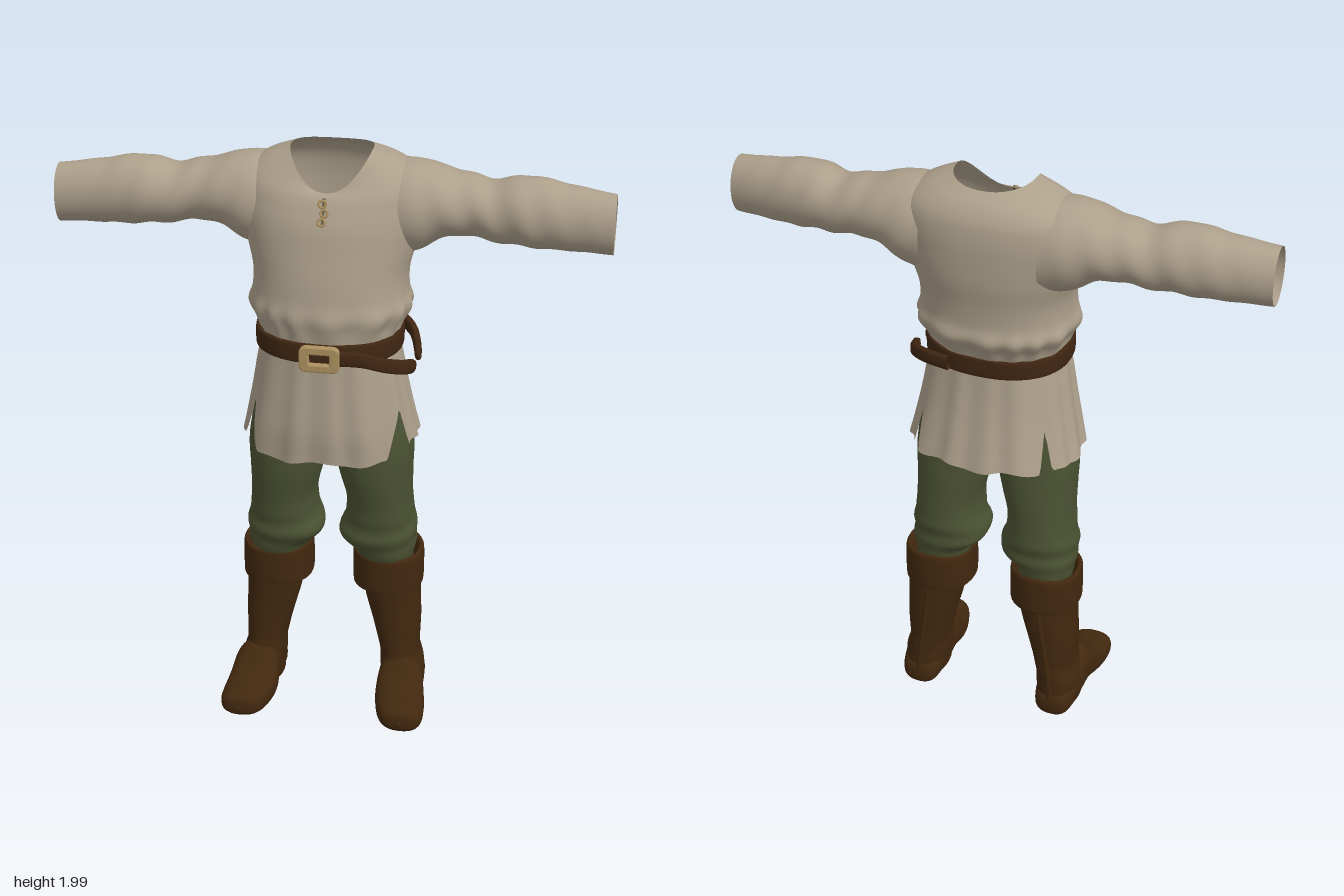
import * as THREE from 'three';

const paint = (name, color) => {
  const m = new THREE.MeshStandardMaterial({ color, side: THREE.DoubleSide });
  m.name = name;
  return m;
};

// smooth value of every column of a table of rows, t in 0..1
function sample(rows, t) {
  const p = t * (rows.length - 1), i = Math.min(Math.floor(p), rows.length - 2), f = p - i;
  const row = k => rows[THREE.MathUtils.clamp(k, 0, rows.length - 1)];
  return rows[i].map((b, c) => {
    const a = row(i - 1)[c], d = row(i + 1)[c], e = row(i + 2)[c];
    return b + 0.5 * f * (d - a + f * (2 * a - 5 * b + 4 * d - e + f * (3 * (b - d) + e - a)));
  });
}

// closed skin: f(angle, t) gives a point; skip(point) leaves a hole
function skin(nu, nv, f, skip) {
  const pos = [], index = [];
  for (let j = 0; j <= nv; j++)
    for (let i = 0; i < nu; i++) pos.push(...f((i / nu) * Math.PI * 2, j / nv));
  for (let j = 0; j < nv; j++)
    for (let i = 0; i < nu; i++) {
      const a = j * nu + i, b = j * nu + (i + 1) % nu, c = a + nu, d = b + nu;
      if (skip && skip(pos[a * 3], pos[a * 3 + 1], pos[a * 3 + 2])) continue;
      index.push(a, c, b, b, c, d);
    }
  const g = new THREE.BufferGeometry();
  g.setAttribute('position', new THREE.Float32BufferAttribute(pos, 3));
  g.setIndex(index);
  g.computeVertexNormals();
  return g;
}

const power = (v, e) => Math.sign(v) * Math.abs(v) ** e;

// upright part from rows [centre x, half width, front z, back z, y, front y, back y]
function upright(rows, nu, nv, { e = 0.9, ripple, skip } = {}) {
  const full = rows.map(([cx, hx, zf, zb, y, yf = y, yb = y]) => [cx, hx, zf, zb, y, yf, yb]);
  return skin(nu, nv, (a, t) => {
    const [cx, hx, zf, zb, y, yf, yb] = sample(full, t);
    const s = Math.sin(a), k = 1 + (ripple ? ripple(a, y) : 0);
    return [cx + hx * k * power(Math.cos(a), e),
      THREE.MathUtils.lerp(y, s > 0 ? yf : yb, s * s),
      (zf + zb) / 2 + (zf - zb) / 2 * k * power(s, e)];
  }, skip);
}

// flat strap along a path, tapering at its end
function strap(points, h, thick) {
  const curve = new THREE.CatmullRomCurve3(points.map(p => new THREE.Vector3(...p)));
  const up = new THREE.Vector3(0, 1, 0);
  return skin(12, 30, (a, t) => {
    const p = curve.getPoint(t);
    const out = curve.getTangent(t).cross(up).normalize();
    const k = t > 0.85 ? Math.sqrt(Math.max(0, 1 - ((t - 0.85) / 0.15) ** 2)) : 1;
    p.addScaledVector(up, h * k * power(Math.sin(a), 0.6));
    p.addScaledVector(out, thick * k * power(Math.cos(a), 0.6));
    return [p.x, p.y, p.z];
  });
}

function mirrored(g) {
  const m = g.clone().scale(-1, 1, 1), ix = m.index.array;
  for (let i = 0; i < ix.length; i += 3) [ix[i], ix[i + 1]] = [ix[i + 1], ix[i]];
  m.computeVertexNormals();
  return m;
}

export function createModel() {
  const model = new THREE.Group();
  model.name = 'tunicOutfit';
  const linen = paint('linen', 0xada08b), green = paint('greenWool', 0x4b5232);
  const hide = paint('bootLeather', 0x42280f), leather = paint('beltLeather', 0x402612);
  const brass = paint('brass', 0xac9160), dark = paint('slitTrim', 0x6b5d49);
  const add = (name, g, mat) => {
    const mesh = new THREE.Mesh(g, mat);
    mesh.name = name;
    model.add(mesh);
    return mesh;
  };
  const pair = (name, g, mat) => {
    add('left' + name, g, mat);
    add('right' + name, mirrored(g), mat);
  };

  // tunic body, gathered above the belt, open at neck and armholes
  add('tunicBody', upright([
    [0, 0.222, 0.2, -0.178, 1.4], [0, 0.235, 0.208, -0.198, 1.45],
    [0, 0.26, 0.216, -0.225, 1.5], [0, 0.25, 0.206, -0.216, 1.55],
    [0, 0.25, 0.196, -0.22, 1.62], [0, 0.27, 0.18, -0.232, 1.7],
    [0, 0.288, 0.163, -0.236, 1.78], [0, 0.295, 0.142, -0.235, 1.85, 1.835, 1.85],
    [0, 0.28, 0.125, -0.224, 1.915, 1.868, 1.91],
    [0, 0.215, 0.112, -0.195, 1.965, 1.882, 1.955],
    [0, 0.13, 0.1, -0.148, 2.0, 1.885, 1.985],
  ], 96, 60, {
    ripple: (a, y) => 0.028 * Math.sin(15 * a + 2 * Math.sin(3 * a)) * Math.exp(-(((y - 1.47) / 0.05) ** 2)),
    skip: (x, y, z) => Math.abs(x) > 0.225 && y > 1.74 && y < 1.9 && z > -0.15 && z < 0.05,
  }), linen);

  // sleeves: x, top, bottom, front, back
  const sleeve = [
    [0.19, 1.955, 1.65, 0.09, -0.205], [0.27, 1.96, 1.67, 0.092, -0.2],
    [0.35, 1.94, 1.715, 0.075, -0.182], [0.43, 1.922, 1.728, 0.058, -0.166],
    [0.51, 1.91, 1.715, 0.06, -0.152], [0.6, 1.93, 1.71, 0.072, -0.142],
    [0.67, 1.925, 1.705, 0.068, -0.132], [0.78, 1.908, 1.705, 0.06, -0.108],
    [0.885, 1.895, 1.703, 0.058, -0.085],
  ];
  pair('Sleeve', skin(40, 56, (a, t) => {
    const [x, top, bottom, zf, zb] = sample(sleeve, t);
    const k = 1 + 0.025 * Math.sin(x * 55 + 2.5 * Math.sin(a)) * Math.sin(Math.PI * t);
    return [x, (top + bottom) / 2 + (top - bottom) / 2 * k * Math.sin(a),
      (zf + zb) / 2 + (zf - zb) / 2 * k * Math.cos(a)];
  }), linen);

  // skirt of the tunic with slits: angle, slope towards the back, slope towards the front
  const slits = [[0.45, 1.6, 0.5], [-0.68, 1.2, 2.5]];
  const skirtRows = [
    [0.218, 0.196, -0.174], [0.235, 0.2, -0.185], [0.252, 0.206, -0.202],
    [0.272, 0.21, -0.224], [0.292, 0.203, -0.245],
  ];
  const hem = a => {
    const b = Math.atan2(Math.sin(a), Math.abs(Math.cos(a)));
    let y = 1.0 + (b < 0.45 ? 0.035 : 0) + 0.006 * Math.sin(9 * a);
    for (const [c, back, front] of slits)
      y = Math.max(y, 1.18 - Math.abs(b - c) * (b < c ? back : front));
    return y;
  };
  add('tunicSkirt', skin(200, 24, (a, v) => {
    const y = THREE.MathUtils.lerp(hem(a), 1.41, v);
    const [hx, zf, zb] = sample(skirtRows, THREE.MathUtils.clamp((1.4 - y) / 0.4, 0, 1));
    const k = 1 + 0.022 * (1 - v * 0.5) * Math.sin(14 * a + 1.5 * Math.sin(4 * a));
    return [hx * k * power(Math.cos(a), 0.85), y,
      (zf + zb) / 2 + (zf - zb) / 2 * k * power(Math.sin(a), 0.85)];
  }), linen);

  // neck slit and its lacing
  const slit = add('neckSlit', new THREE.BoxGeometry(0.008, 0.085, 0.006), dark);
  slit.position.set(0, 1.838, 0.141);
  slit.rotation.x = -0.42;
  [1.862, 1.836, 1.81].forEach((y, i) => {
    const knot = add('lacing', new THREE.TorusGeometry(0.011, 0.004, 6, 14), brass);
    knot.position.set(i % 2 ? 0.004 : -0.003, y, 0.137 + (1.862 - y) * 0.4);
    knot.rotation.x = -0.4;
  });

  // belt and its two hanging tails
  add('belt', upright([
    [0, 0.215, 0.192, -0.17, 1.366], [0, 0.234, 0.214, -0.189, 1.36],
    [0, 0.238, 0.218, -0.193, 1.375], [0, 0.238, 0.218, -0.193, 1.41],
    [0, 0.234, 0.214, -0.189, 1.425], [0, 0.215, 0.192, -0.17, 1.42],
  ], 72, 20, { e: 0.88 }), leather);
  add('beltTailFront', strap([[0.05, 1.39, 0.228], [0.13, 1.385, 0.215], [0.2, 1.355, 0.175],
    [0.258, 1.33, 0.12], [0.285, 1.315, 0.06]], 0.025, 0.012), leather);
  add('beltTailBack', strap([[0.1, 1.39, -0.192], [0.19, 1.385, -0.165], [0.25, 1.365, -0.11],
    [0.275, 1.335, -0.05], [0.287, 1.318, 0.01]], 0.024, 0.012), leather);

  // buckle
  const rounded = (path, w, h, r) => path.moveTo(-w + r, -h).lineTo(w - r, -h)
    .quadraticCurveTo(w, -h, w, -h + r).lineTo(w, h - r).quadraticCurveTo(w, h, w - r, h)
    .lineTo(-w + r, h).quadraticCurveTo(-w, h, -w, h - r).lineTo(-w, -h + r)
    .quadraticCurveTo(-w, -h, -w + r, -h);
  const frame = rounded(new THREE.Shape(), 0.06, 0.038, 0.02);
  frame.holes.push(rounded(new THREE.Path(), 0.038, 0.021, 0.01));
  add('buckle', new THREE.ExtrudeGeometry(frame, {
    depth: 0.014, bevelThickness: 0.005, bevelSize: 0.005, bevelSegments: 2, curveSegments: 6,
  }), brass).position.set(0.004, 1.386, 0.226);

  // trousers: open waist and two legs
  add('trouserHips', upright([
    [0, 0.1, 0.03, -0.06, 1.0], [0, 0.24, 0.11, -0.145, 1.05], [0, 0.25, 0.13, -0.16, 1.12],
    [0, 0.235, 0.135, -0.165, 1.22], [0, 0.215, 0.14, -0.16, 1.32], [0, 0.2, 0.145, -0.155, 1.4],
  ], 48, 20), green);
  pair('TrouserLeg', upright([
    [0.185, 0.09, 0.055, -0.14, 0.55], [0.182, 0.1, 0.075, -0.15, 0.6],
    [0.158, 0.132, 0.092, -0.158, 0.65], [0.163, 0.118, 0.098, -0.166, 0.72],
    [0.162, 0.11, 0.108, -0.164, 0.8], [0.15, 0.122, 0.124, -0.162, 0.9],
    [0.14, 0.134, 0.13, -0.156, 1.0], [0.132, 0.126, 0.13, -0.155, 1.1],
    [0.122, 0.11, 0.12, -0.15, 1.2],
  ], 40, 48, {
    ripple: (a, y) => 0.03 * Math.sin(y * 75 + 2 * Math.sin(a)) * Math.exp(-(((y - 0.66) / 0.07) ** 2)),
  }), green);

  // boots: shaft, turned-down cuff, foot, back seam
  pair('BootShaft', upright([
    [0.248, 0.07, 0.05, -0.16, 0.04], [0.245, 0.074, 0.055, -0.165, 0.12],
    [0.234, 0.069, 0.046, -0.163, 0.2], [0.223, 0.082, 0.042, -0.167, 0.3],
    [0.208, 0.094, 0.042, -0.17, 0.4], [0.198, 0.102, 0.045, -0.172, 0.5],
  ], 36, 30, { ripple: (a, y) => 0.02 * Math.sin(y * 60 + 2 * a) * Math.exp(-(((y - 0.17) / 0.06) ** 2)) }), hide);
  pair('BootCuff', upright([
    [0.195, 0.1, 0.045, -0.168, 0.468], [0.192, 0.116, 0.066, -0.177, 0.458],
    [0.191, 0.12, 0.07, -0.182, 0.475], [0.191, 0.12, 0.07, -0.182, 0.56],
    [0.19, 0.117, 0.067, -0.178, 0.585, 0.582, 0.595], [0.188, 0.104, 0.055, -0.166, 0.582, 0.58, 0.592],
    [0.186, 0.094, 0.04, -0.155, 0.54],
  ], 40, 36), hide);
  const foot = [ // z, centre x, half width, top, bottom
    [-0.172, 0.248, 0.004, 0.07, 0.05], [-0.162, 0.248, 0.05, 0.1, 0.018],
    [-0.12, 0.248, 0.068, 0.13, 0.01], [-0.04, 0.25, 0.075, 0.17, 0.012],
    [0.04, 0.253, 0.078, 0.195, 0.014], [0.1, 0.258, 0.085, 0.14, 0.012],
    [0.16, 0.267, 0.083, 0.115, 0.012], [0.215, 0.275, 0.072, 0.106, 0.018],
    [0.242, 0.279, 0.048, 0.092, 0.03], [0.25, 0.28, 0.004, 0.066, 0.056],
  ];
  pair('BootFoot', skin(32, 45, (a, t) => {
    const [z, cx, hx, top, bottom] = sample(foot, t);
    return [cx + hx * power(Math.cos(a), 0.85),
      (top + bottom) / 2 - (top - bottom) / 2 * power(Math.sin(a), 0.75), z];
  }), hide);
  const seam = new THREE.CatmullRomCurve3([[0.248, 0.05, -0.162], [0.234, 0.2, -0.162],
    [0.21, 0.38, -0.168], [0.195, 0.5, -0.172]].map(p => new THREE.Vector3(...p)));
  pair('BootSeam', new THREE.TubeGeometry(seam, 16, 0.01, 8), hide);

  return model;
}
